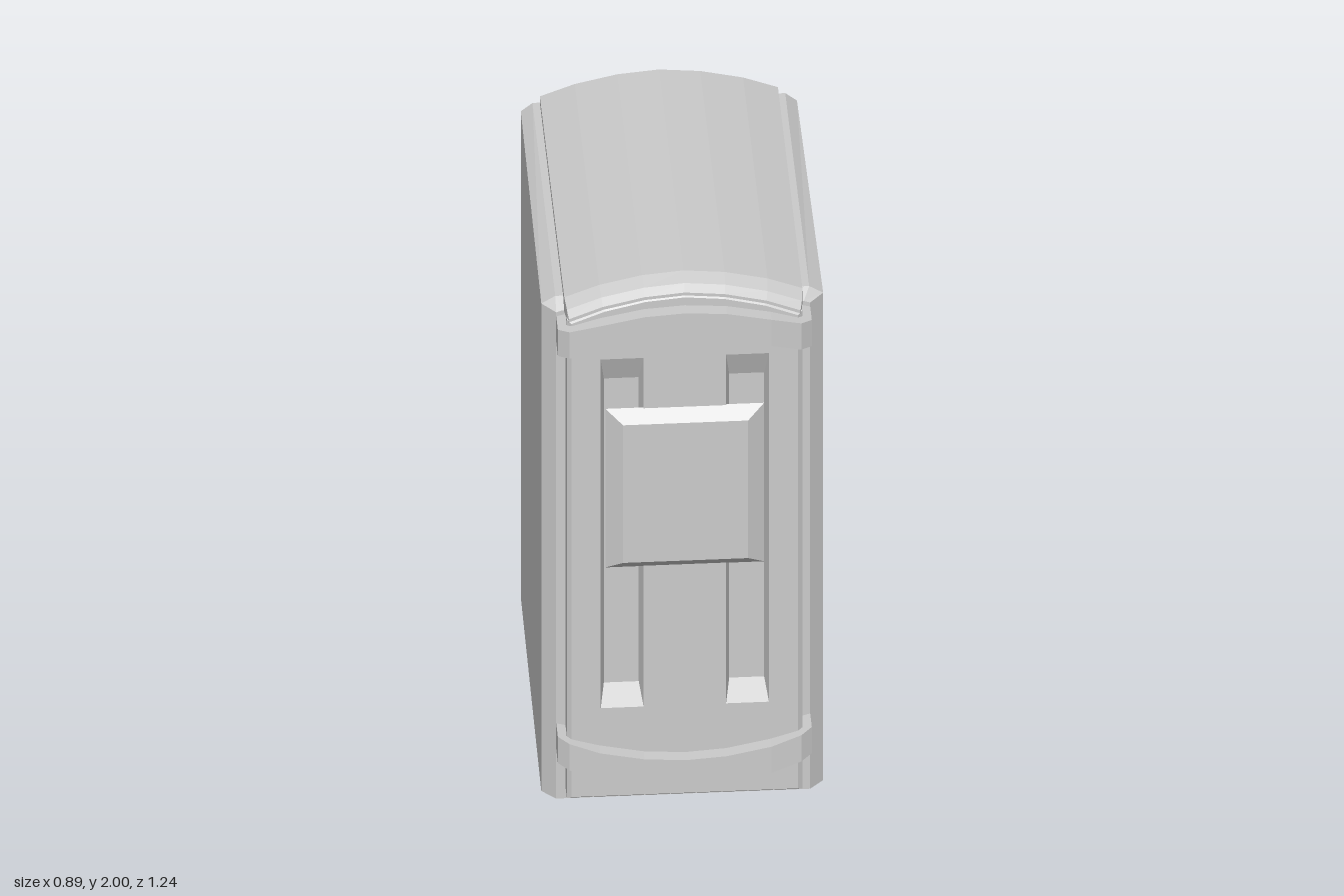
import * as THREE from 'three';

const material = new THREE.MeshStandardMaterial({ color: 0xcccccc, flatShading: true });

// Skin a list of rings { w, pts: [[u, v], ...] } running along the z or x axis.
function loft(rings, { axis = 'z', startCap = true, endCap = true } = {}) {
  const n = rings[0].pts.length;
  const positions = [];
  const index = [];
  for (const { w, pts } of rings) {
    for (const [u, v] of pts) positions.push(...(axis === 'z' ? [u, v, w] : [w, u, v]));
  }
  for (let i = 0; i < rings.length - 1; i++) {
    for (let j = 0; j < n; j++) {
      const a = i * n + j, b = i * n + (j + 1) % n;
      index.push(a, b, b + n, a, b + n, a + n);
    }
  }
  const cap = (i, flip) => {
    const contour = rings[i].pts.map(([u, v]) => new THREE.Vector2(u, v));
    for (const [a, b, c] of THREE.ShapeUtils.triangulateShape(contour, [])) {
      index.push(i * n + a, i * n + (flip ? c : b), i * n + (flip ? b : c));
    }
  };
  if (startCap) cap(0, true);
  if (endCap) cap(rings.length - 1, false);
  const indexed = new THREE.BufferGeometry();
  indexed.setAttribute('position', new THREE.Float32BufferAttribute(positions, 3));
  indexed.setIndex(index);
  const geometry = indexed.toNonIndexed();
  geometry.computeVertexNormals();
  return geometry;
}

const rect = (x0, x1, y0, y1) => [[x0, y0], [x1, y0], [x1, y1], [x0, y1]];

// Half of the arch, from the edge to the crown; heights are mirrored.
const ARCH = [[0.375, 1.915], [0.265, 1.957], [0.13, 1.988], [0, 2]];

// Arched outline with a flat bottom, counterclockwise.
function archOutline(bottom, drop, inset = 0) {
  const k = (0.375 - inset) / 0.375;
  const right = ARCH.map(([x, y]) => [x * k, y - drop]);
  const left = right.slice(0, -1).reverse().map(([x, y]) => [-x, y]);
  return [[-0.375 * k, bottom], [0.375 * k, bottom], ...right, ...left];
}

// Body outline with chamfered top corners.
function bodyOutline(half, shoulder, inner, top) {
  return [[-half, 0], [half, 0], [half, shoulder], [inner, top], [-inner, top], [-half, shoulder]];
}

// Band across the door, bowed by `bow` at the middle; y is its lower edge at the ends.
function bandGeometry(y, bow) {
  const half = [[0.4, 0.575, 0], [0.365, 0.605, 0.12], [0.27, 0.62, 0.5], [0.13, 0.62, 0.88], [0, 0.62, 1]];
  const stations = [
    ...half.map(([x, z, t]) => [-x, z, t]),
    ...half.slice(0, -1).reverse(),
  ];
  return loft(stations.map(([x, z, t]) => {
    const low = y + bow * t;
    return { w: x, pts: rect(low, low + 0.1, 0.5, z) };
  }), { axis: 'x' });
}

export function createModel() {
  const group = new THREE.Group();
  const add = (name, geometry) => {
    const mesh = new THREE.Mesh(geometry, material);
    mesh.name = name;
    group.add(mesh);
    return mesh;
  };

  // Main cabinet, widening slightly to a chamfered front
  add('body', loft([
    { w: -0.62, pts: bodyOutline(0.435, 1.855, 0.398, 1.885) },
    { w: 0.455, pts: bodyOutline(0.444, 1.86, 0.4, 1.887) },
    { w: 0.5, pts: bodyOutline(0.4, 1.855, 0.38, 1.862) },
  ]));

  // Arched roof with a rounded front edge
  add('roof', loft([
    { w: -0.62, pts: archOutline(1.86, 0.006) },
    { w: 0.505, pts: archOutline(1.86, 0) },
    { w: 0.555, pts: archOutline(1.86, 0.014, 0.005) },
    { w: 0.57, pts: archOutline(1.86, 0.04, 0.01) },
  ]));

  // Door edge, with an open front closed by the face below
  const doorZ = 0.575;
  const front = archOutline(0.055, 0.055, 0.018);
  add('doorEdge', loft([
    { w: 0.49, pts: archOutline(0.045, 0.045, 0.004) },
    { w: 0.563, pts: archOutline(0.045, 0.045, 0.004) },
    { w: doorZ, pts: front },
  ], { endCap: false }));

  // Door face with two long openings
  const toPoints = (pts) => pts.map(([x, y]) => new THREE.Vector2(x, y));
  const face = new THREE.Shape(toPoints(front));
  for (const side of [-1, 1]) {
    const cx = side * 0.1975;
    const mouth = rect(cx - 0.0675, cx + 0.0675, 0.39, 1.72);
    const floor = rect(cx - 0.055, cx + 0.055, 0.46, 1.62);
    face.holes.push(new THREE.Path(toPoints(mouth)));

    // Recessed groove with sloping ends
    add(side > 0 ? 'leftGroove' : 'rightGroove', loft(
      [{ w: doorZ, pts: mouth }, { w: 0.535, pts: floor }], { startCap: false }));
  }
  add('doorFace', new THREE.ShapeGeometry(face)).position.z = doorZ;

  // Raised bevelled panel
  add('raisedPanel', loft([
    { w: doorZ - 0.002, pts: rect(-0.25, 0.25, 0.925, 1.53) },
    { w: 0.61, pts: rect(-0.197, 0.197, 0.965, 1.49) },
  ]));

  // Bowed bands near the top and bottom of the door
  add('upperBand', bandGeometry(1.74, 0.075));
  add('lowerBand', bandGeometry(0.187, -0.077));

  return group;
}
